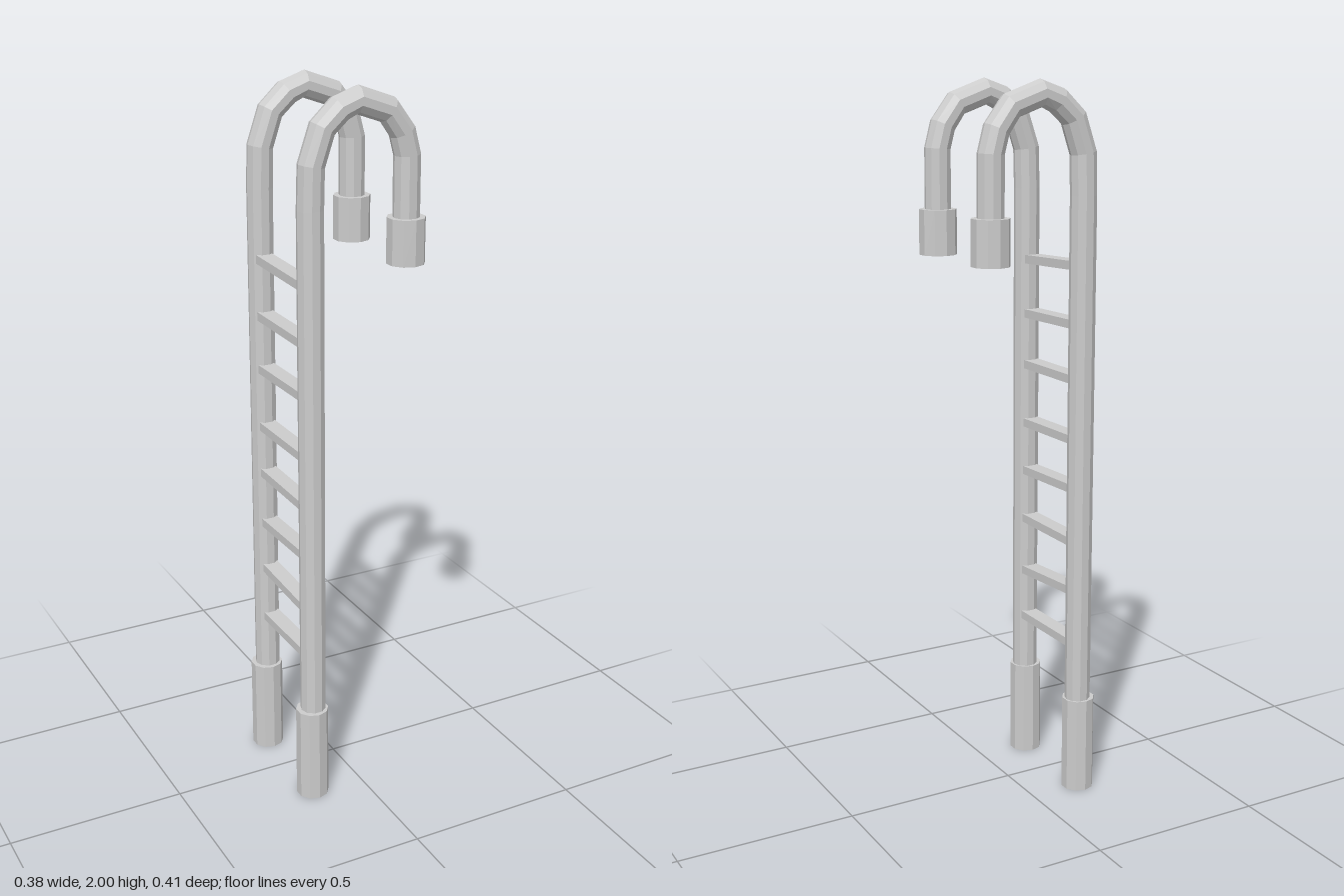
import * as THREE from 'three';

// Polyline curve that puts tube rings exactly on the given points
class BentPath extends THREE.Curve {
  constructor(points) {
    super();
    this.points = points;
  }
  getPoint(t, target = new THREE.Vector3()) {
    const f = Math.min(Math.max(t, 0), 1) * (this.points.length - 1);
    const i = Math.min(Math.floor(f + 1e-9), this.points.length - 2);
    return target.lerpVectors(this.points[i], this.points[i + 1], f - i);
  }
  getPointAt(u, target) { return this.getPoint(u, target); }
  getTangentAt(u, target) { return this.getTangent(u, target); }
}

export function createModel() {
  const model = new THREE.Group();
  model.name = 'poolLadder';
  const material = new THREE.MeshStandardMaterial({ color: 0xcccccc, flatShading: true });

  const add = (parent, name, geometry, x = 0, y = 0, z = 0) => {
    const mesh = new THREE.Mesh(geometry, material);
    mesh.name = name;
    mesh.position.set(x, y, z);
    parent.add(mesh);
    return mesh;
  };

  // Centre line of a rail: upright, hooked arch, short drop
  const railProfile = [
    [-0.147, 0.05], [-0.14, 1.7], [-0.137, 1.81], [-0.106, 1.9], [-0.058, 1.944],
    [-0.008, 1.963], [0.08, 1.932], [0.122, 1.875], [0.138, 1.815], [0.139, 1.58],
  ];

  // Each rail leans slightly from its foot to its arch
  const addRail = (name, footZ, archZ) => {
    const rail = new THREE.Group();
    rail.name = name;
    const path = railProfile.map(([x, y], i) =>
      new THREE.Vector3(x, y, i === 0 ? footZ : archZ));
    add(rail, 'railTube', new THREE.TubeGeometry(new BentPath(path), path.length - 1, 0.036, 10, false));
    add(rail, 'footSleeve', new THREE.CylinderGeometry(0.046, 0.046, 0.275, 10), -0.15, 0.1375, footZ);
    add(rail, 'handleSleeve', new THREE.CylinderGeometry(0.052, 0.052, 0.123, 10), 0.139, 1.592, archZ);
    model.add(rail);
  };
  addRail('frontRail', 0.158, 0.141);
  addRail('backRail', -0.142, -0.156);

  // Flat rungs, each [height, tilt]
  const rungs = [
    [0.44, 0], [0.59, 0.06], [0.742, -0.01], [0.892, 0.025],
    [1.033, 0.01], [1.203, 0], [1.352, 0.02], [1.508, 0.04],
  ];
  rungs.forEach(([y, tilt], i) => {
    const rung = add(model, `rung${i + 1}`, new THREE.BoxGeometry(0.046, 0.024, 0.27), -0.143, y, 0.002);
    rung.rotation.x = tilt;
  });

  return model;
}
